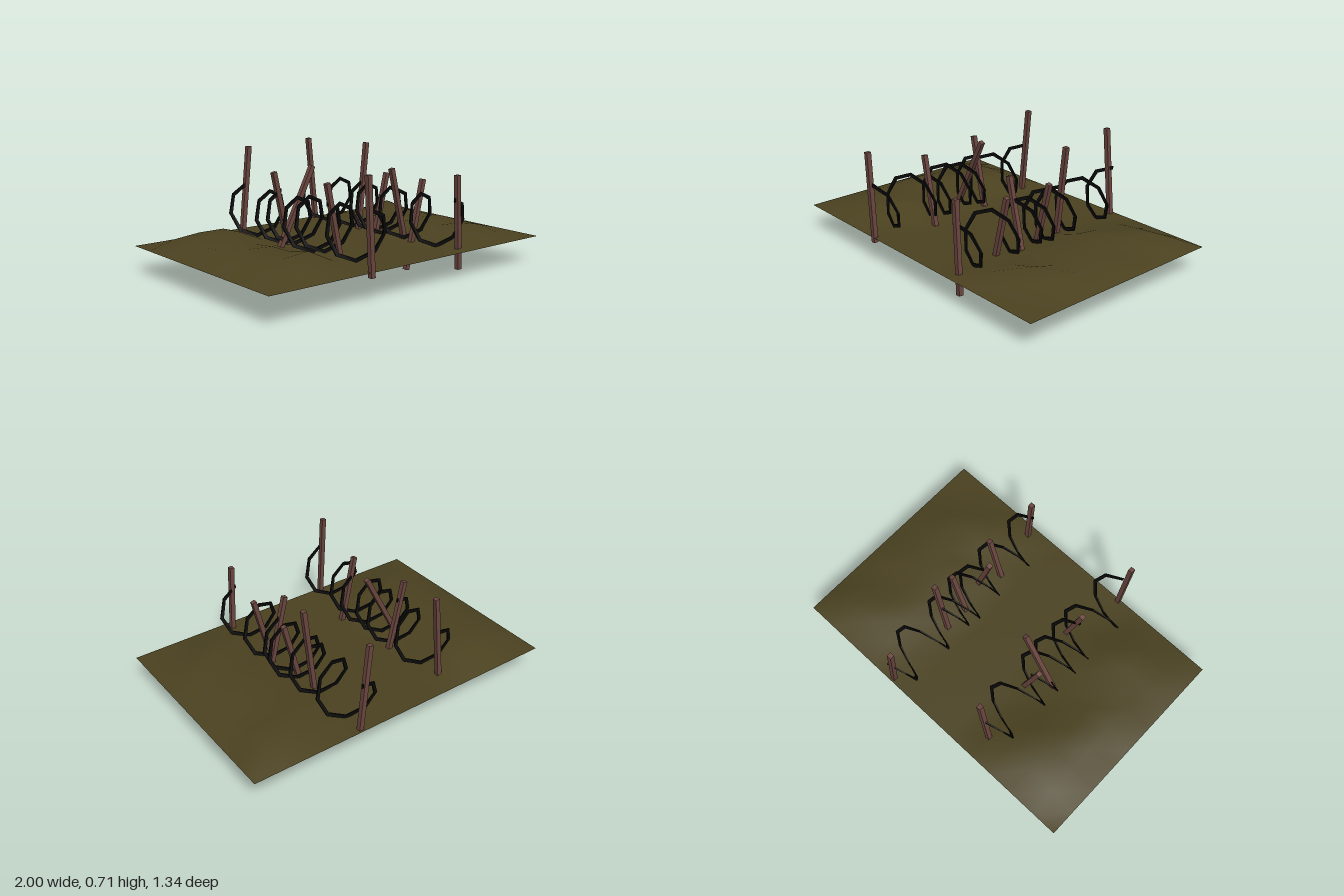
import * as THREE from 'three';

const GROUND_Y = 0.17;
const soilMat = new THREE.MeshStandardMaterial({ color: 0x4b4220, side: THREE.DoubleSide });
const woodMat = new THREE.MeshStandardMaterial({ color: 0x6b4640 });
const wireMat = new THREE.MeshStandardMaterial({ color: 0x0a0a0a });

// Thin sheet of soil: flat strip down the middle, uneven mounds on both sides
function makeGround() {
  const geo = new THREE.PlaneGeometry(2, 1.333, 12, 8).rotateX(-Math.PI / 2);
  const colMax = [0, 0.075, 0.075, 0.095, 0, 0, 0, 0, 0, 0.07, 0.075, 0.095, 0];
  const rowMax = [0, 0.075, 0.075, 0.065, 0.095, 0.06, 0.085, 0.045, 0];
  let seed = 7;
  const rand = () => (seed = (seed * 16807) % 2147483647) / 2147483647;
  const pos = geo.attributes.position;
  for (let i = 0; i < pos.count; i++) {
    const limit = Math.min(colMax[i % 13], rowMax[Math.floor(i / 13)]);
    pos.setY(i, GROUND_Y + limit * (0.35 + 0.65 * rand()));
  }
  geo.computeVertexNormals();
  const mesh = new THREE.Mesh(geo, soilMat);
  mesh.name = 'ground';
  return mesh;
}

// Square stake leaning sideways, given by its top and bottom centres
function makePost([xTop, yTop, xBottom, yBottom, z]) {
  const dx = xTop - xBottom, dy = yTop - yBottom;
  const mesh = new THREE.Mesh(new THREE.BoxGeometry(0.028, Math.hypot(dx, dy), 0.028), woodMat);
  mesh.position.set((xTop + xBottom) / 2, (yTop + yBottom) / 2, z);
  mesh.rotation.z = -Math.atan2(dx, dy);
  mesh.name = 'post';
  return mesh;
}

// Angular coil of flat wire: three turns of eight straight segments
function makeCoil([cx, cy, zStart]) {
  const turns = 3, sides = 8, n = turns * sides, length = 0.796;
  const section = [[0.133, 0.004], [0.155, 0.004], [0.155, -0.004], [0.133, -0.004]];
  const points = [], index = [];
  for (let i = 0; i <= n; i++) {
    const a = (i / sides) * Math.PI * 2, z = zStart - (i / n) * length;
    for (const [r, dz] of section) points.push(cx + r * Math.sin(a), cy + r * Math.cos(a), z + dz);
  }
  for (let i = 0; i < n; i++) {
    for (let k = 0; k < 4; k++) {
      const a = i * 4 + k, b = i * 4 + ((k + 1) % 4);
      index.push(a, b, a + 4, b, b + 4, a + 4);
    }
  }
  const e = n * 4;
  index.push(0, 2, 1, 0, 3, 2, e, e + 1, e + 2, e, e + 2, e + 3);
  let geo = new THREE.BufferGeometry();
  geo.setAttribute('position', new THREE.Float32BufferAttribute(points, 3));
  geo.setIndex(index);
  geo = geo.toNonIndexed();
  geo.computeVertexNormals();
  const mat = wireMat.clone();
  mat.side = THREE.DoubleSide;
  const mesh = new THREE.Mesh(geo, mat);
  mesh.name = 'wireCoil';
  return mesh;
}

export function createModel() {
  const group = new THREE.Group();
  group.name = 'wireObstacle';
  group.add(makeGround());

  // Posts: x and y of the top, x and y of the bottom, z
  const rightPosts = [
    [-0.295, 0.71, -0.35, 0.17, -0.515],
    [-0.383, 0.605, -0.265, 0.075, -0.137],
    [-0.185, 0.635, -0.43, 0.16, -0.035],
    [-0.332, 0.59, -0.22, 0.065, 0.283],
    [-0.363, 0.685, -0.334, 0.14, 0.655],
  ];
  const leftPosts = [
    [0.26, 0.703, 0.315, 0.163, -0.64],
    [0.365, 0.71, 0.305, 0.168, -0.19],
    [0.396, 0.537, 0.268, 0.006, -0.033],
    [0.267, 0.595, 0.398, 0.068, 0.15],
    [0.396, 0.537, 0.268, 0.006, 0.283],
    [0.353, 0.603, 0.377, 0.056, 0.6],
  ];
  // Coils: centre x and y, front end z; two overlap in each row
  const rows = [
    ['rightRow', rightPosts, [[-0.33, 0.35, 0.655], [-0.33, 0.33, 0.28]]],
    ['leftRow', leftPosts, [[0.332, 0.32, 0.6], [0.315, 0.32, 0.148]]],
  ];
  for (const [name, posts, coils] of rows) {
    const row = new THREE.Group();
    row.name = name;
    row.add(...posts.map(makePost), ...coils.map(makeCoil));
    group.add(row);
  }
  return group;
}
